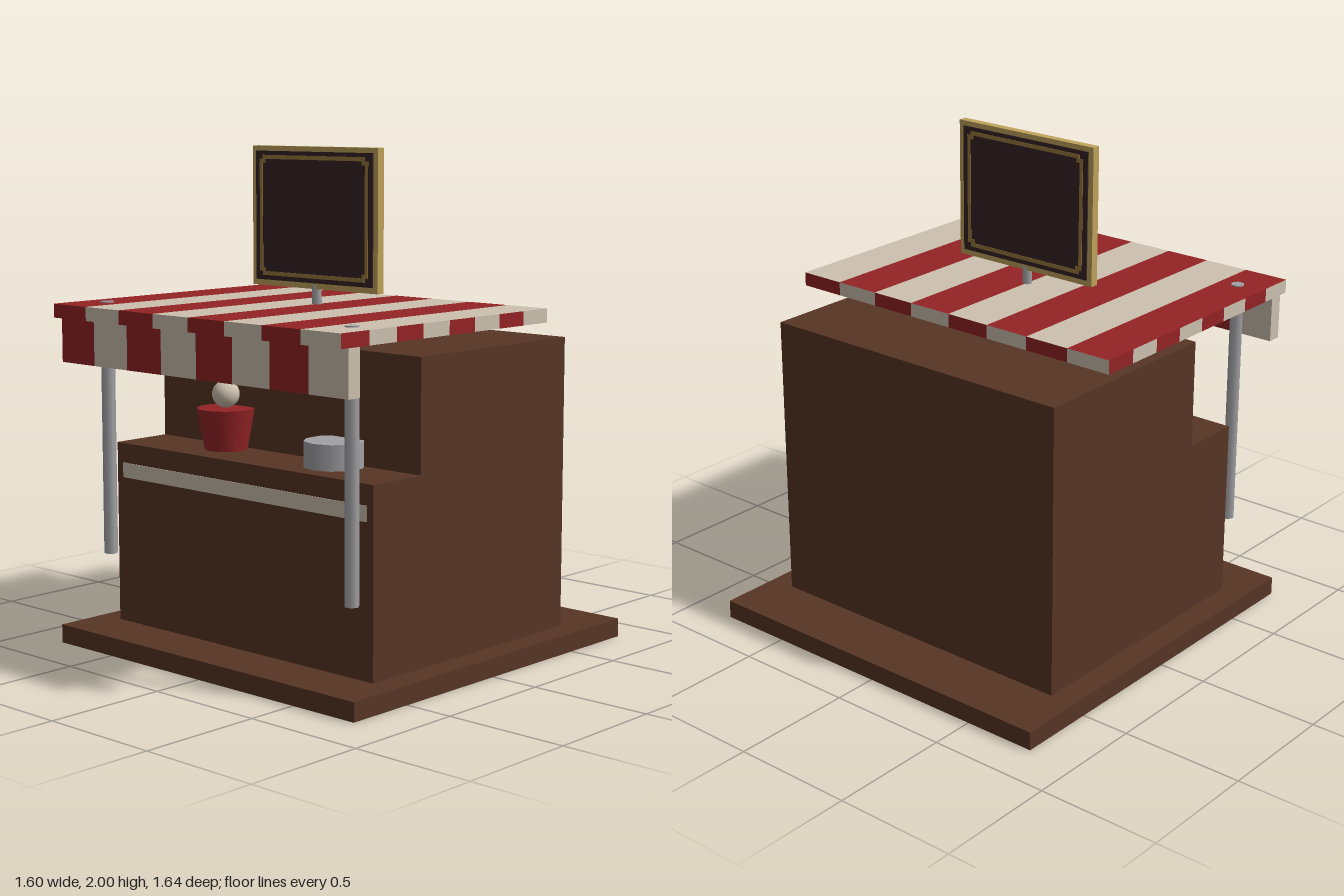
import * as THREE from 'three';
import { mergeGeometries } from 'three/addons/utils/BufferGeometryUtils.js';

const paint = (name, color) => {
  const m = new THREE.MeshStandardMaterial({ color });
  m.name = name;
  return m;
};

export function createModel() {
  const group = new THREE.Group();
  const wood = paint('brown wood', 0x563525);
  const red = paint('red cloth', 0x942325);
  const cream = paint('cream', 0xcdc1af);
  const metal = paint('grey metal', 0xa2a2a6);
  const gold = paint('gold frame', 0xc0a35c);
  const trim = paint('dark gold trim', 0x98783a);
  const board = paint('dark board', 0x362324);

  const add = (name, geo, mat, x, y, z) => {
    const mesh = new THREE.Mesh(geo, mat);
    mesh.name = name;
    mesh.position.set(x, y, z);
    group.add(mesh);
    return mesh;
  };
  // Box given by its lower and upper corners
  const box = (name, mat, x0, x1, y0, y1, z0, z1) =>
    add(name, new THREE.BoxGeometry(x1 - x0, y1 - y0, z1 - z0), mat,
      (x0 + x1) / 2, (y0 + y1) / 2, (z0 + z1) / 2);

  // Box whose faces are cut into eight alternating stripes; plainEnds keeps sides and underside cream
  const stripedBox = (name, w, h, d, x, y, z, plainEnds) => {
    const parts = [[], []];
    const faces = [ // width, height, offset, rotation x, rotation y, plain
      [w, h, d / 2, 0, 0, false], [w, h, d / 2, 0, Math.PI, false],
      [d, h, w / 2, 0, Math.PI / 2, plainEnds], [d, h, w / 2, 0, -Math.PI / 2, plainEnds],
      [w, d, h / 2, -Math.PI / 2, 0, plainEnds], [w, d, h / 2, Math.PI / 2, 0, plainEnds],
    ];
    for (const [fw, fh, off, rx, ry, plain] of faces) {
      const n = plain ? 1 : 8;
      for (let i = 0; i < n; i++) {
        const g = new THREE.PlaneGeometry(fw / n, fh);
        g.translate(-fw / 2 + (i + 0.5) * fw / n, 0, off);
        g.rotateX(rx).rotateY(ry);
        parts[plain ? 1 : i % 2].push(g);
      }
    }
    add(name + 'RedStripes', mergeGeometries(parts[0]), red, x, y, z);
    add(name + 'CreamStripes', mergeGeometries(parts[1]), cream, x, y, z);
  };

  // Stall body
  box('basePlatform', wood, -0.8, 0.8, 0, 0.075, -0.82, 0.79);
  box('cabinet', wood, -0.695, 0.695, 0.075, 1.25, -0.565, 0.31);
  box('counter', wood, -0.695, 0.695, 0.075, 0.81, 0.31, 0.57);
  box('counterStripe', cream, -0.66, 0.66, 0.67, 0.73, 0.568, 0.573);

  // Awning and hanging valance
  stripedBox('awning', 1.54, 0.055, 1.17, 0, 1.3575, 0.24, false);
  stripedBox('valance', 1.54, 0.18, 0.058, 0, 1.24, 0.756, true);

  // Six-sided metal posts
  const post = (name, r, x, y0, y1, z) => {
    const g = new THREE.CylinderGeometry(r, r, y1 - y0, 6);
    g.rotateY(Math.PI / 2);
    add(name, g, metal, x, (y0 + y1) / 2, z);
  };
  post('leftPost', 0.028, 0.658, 0.37, 1.39, 0.645);
  post('rightPost', 0.028, -0.658, 0.37, 1.39, 0.645);
  post('signPost', 0.02, 0, 1.25, 1.46, 0.13);

  // Sign: frame, board and a notched trim line on both sides
  box('signFrame', gold, -0.335, 0.335, 1.445, 2, 0.113, 0.147);
  box('signBoard', board, -0.312, 0.312, 1.468, 1.98, 0.108, 0.152);
  const notched = (w, h, n, Kind) => {
    const p = new Kind();
    const pts = [];
    for (const [sx, sy, flip] of [[1, -1, 0], [1, 1, 1], [-1, 1, 0], [-1, -1, 1]]) {
      const c = [[sx * (w - n), sy * h], [sx * (w - n), sy * (h - n)], [sx * w, sy * (h - n)]];
      pts.push(...(flip ? c.reverse() : c));
    }
    p.setFromPoints(pts.map(([a, b]) => new THREE.Vector2(a, b)));
    p.closePath();
    return p;
  };
  const line = notched(0.29, 0.239, 0.016, THREE.Shape);
  line.holes.push(notched(0.274, 0.223, 0.016, THREE.Path));
  const lineGeo = new THREE.ExtrudeGeometry(line, { depth: 0.003, bevelEnabled: false });
  add('signTrimFront', lineGeo, trim, 0, 1.725, 0.151);
  add('signTrimBack', lineGeo, trim, 0, 1.725, 0.106);

  // Goods on the counter
  add('bucket', new THREE.CylinderGeometry(0.115, 0.085, 0.165, 16), red, -0.255, 0.8925, 0.385);
  add('ball', new THREE.SphereGeometry(0.055, 16, 12), cream, -0.255, 1.03, 0.385);
  add('tin', new THREE.CylinderGeometry(0.118, 0.118, 0.1, 10), metal, 0.33, 0.86, 0.385);

  return group;
}
